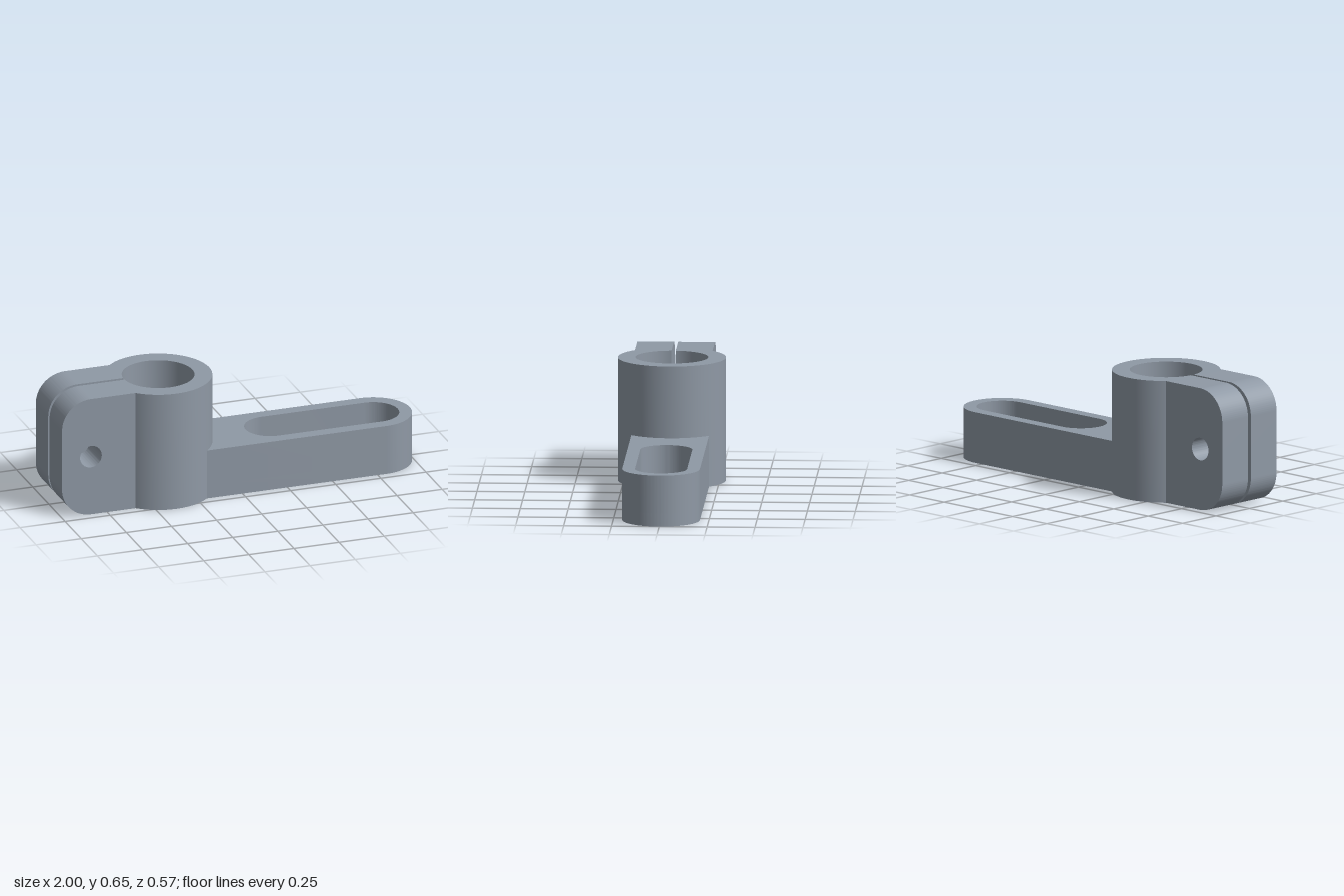
import * as THREE from 'three';
import { toCreasedNormals } from 'three/addons/utils/BufferGeometryUtils.js';

const HUB_X = -0.395, HUB_R = 0.283, BORE_R = 0.19; // clamp hub
const HEIGHT = 0.65, HALF_W = 0.203, GAP = 0.011;   // jaws and slit
const ARM_H = 0.27, FLOOR_H = 0.07, END_X = 0.797;  // arm and pocket

export function createModel() {
  const model = new THREE.Group();
  model.name = 'clampArm';
  const steel = new THREE.MeshStandardMaterial({ color: 0x8f99a5 });
  steel.name = 'blueGreySteel';

  const extrude = (shape, depth) => toCreasedNormals(
    new THREE.ExtrudeGeometry(shape, { depth, bevelEnabled: false, curveSegments: 48 }), 0.5);

  const add = (name, geometry) => {
    const mesh = new THREE.Mesh(geometry, steel);
    mesh.name = name;
    model.add(mesh);
    return mesh;
  };

  // Upright extrusion of a plan outline between two heights
  const addUpright = (name, shape, y0, y1) =>
    add(name, extrude(shape, y1 - y0).rotateX(-Math.PI / 2).translate(0, y0, 0));

  // Hub: ring with a slit on the jaw side
  const outer = Math.PI - Math.asin(GAP / HUB_R);
  const inner = Math.PI - Math.asin(GAP / BORE_R);
  const ring = new THREE.Shape();
  ring.absarc(HUB_X, 0, HUB_R, -outer, outer, false);
  ring.absarc(HUB_X, 0, BORE_R, inner, -inner, true);
  ring.closePath();
  addUpright('hub', ring, 0, HEIGHT);

  // Jaws: two plates with rounded corners and a bolt hole
  const r = 0.16, jawEnd = -0.592;
  const jaw = new THREE.Shape();
  jaw.moveTo(jawEnd, 0);
  jaw.lineTo(jawEnd, HEIGHT);
  jaw.absarc(-1 + r, HEIGHT - r, r, Math.PI / 2, Math.PI, false);
  jaw.absarc(-1 + r, r, r, Math.PI, Math.PI * 1.5, false);
  jaw.closePath();
  const bolt = new THREE.Path();
  bolt.absarc(-0.84, HEIGHT / 2, 0.06, 0, Math.PI * 2, true);
  jaw.holes.push(bolt);
  add('leftJaw', extrude(jaw, HALF_W - GAP)).position.z = GAP;
  add('rightJaw', extrude(jaw, HALF_W - GAP)).position.z = -HALF_W;

  // Arm: round tip, root curved to sit against the hub
  const armShape = () => {
    const rootR = HUB_R - 0.008, a = Math.asin(HALF_W / rootR);
    const s = new THREE.Shape();
    s.absarc(END_X, 0, HALF_W, -Math.PI / 2, Math.PI / 2, false);
    s.absarc(HUB_X, 0, rootR, a, -a, true);
    s.closePath();
    return s;
  };
  const pocket = new THREE.Path();
  pocket.absarc(END_X, 0, 0.136, Math.PI / 2, -Math.PI / 2, true);
  pocket.absarc(0.226, 0, 0.136, -Math.PI / 2, -Math.PI * 1.5, true);
  pocket.closePath();
  const rim = armShape();
  rim.holes.push(pocket);
  addUpright('armRim', rim, FLOOR_H, ARM_H);
  addUpright('armFloor', armShape(), 0, FLOOR_H);

  return model;
}
